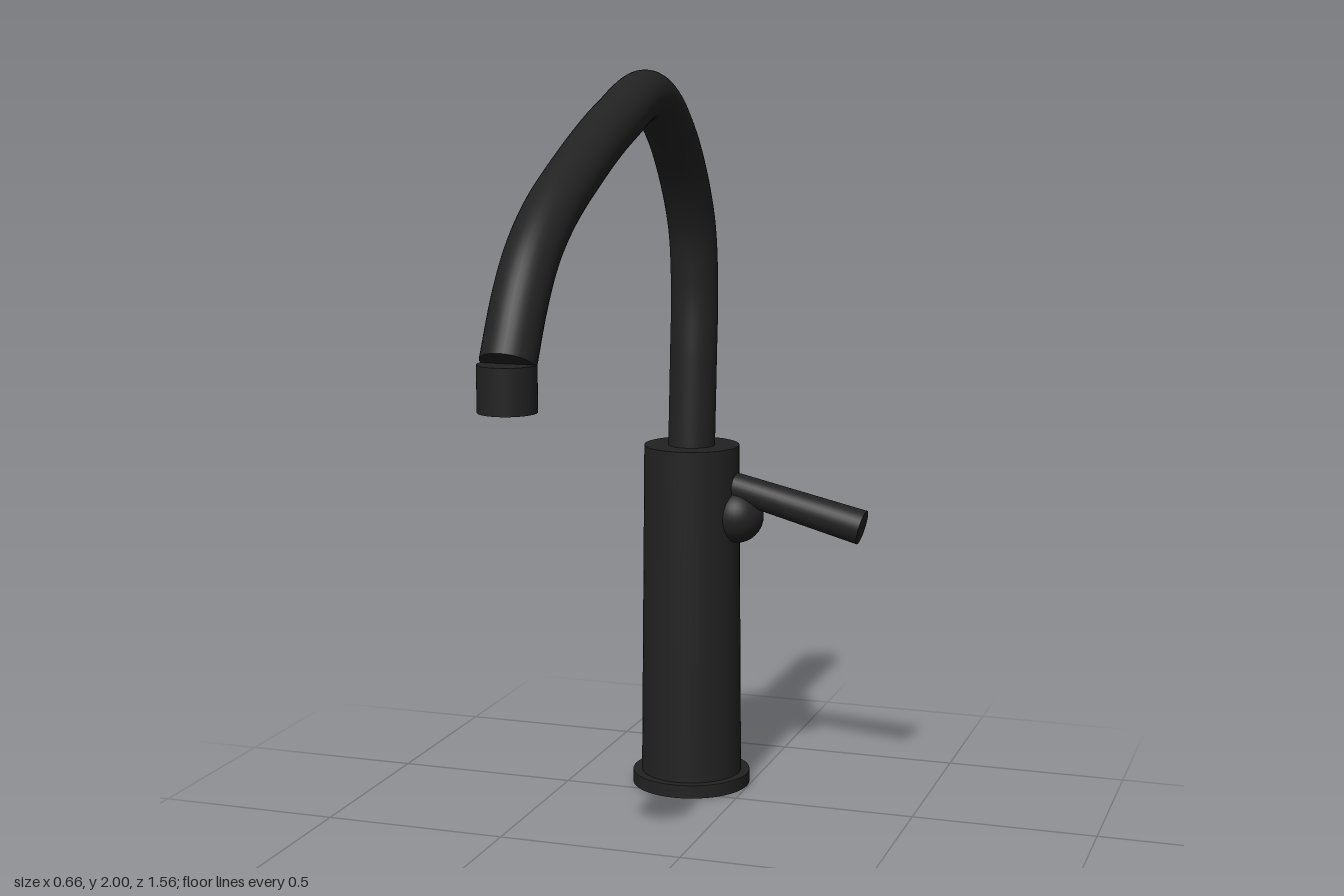
import * as THREE from 'three';

export function createModel() {
  const group = new THREE.Group();
  group.name = 'tap';
  const black = new THREE.MeshStandardMaterial({ color: 0x222222 });
  black.name = 'matte black';
  const X = -0.168, Z = -0.615; // axis of the tap body

  const add = (name, geometry, x = 0, y = 0, z = 0) => {
    const mesh = new THREE.Mesh(geometry, black);
    mesh.name = name;
    mesh.position.set(x, y, z);
    group.add(mesh);
    return mesh;
  };
  const cylinder = (name, rTop, rBottom, y0, y1, x, z) =>
    add(name, new THREE.CylinderGeometry(rTop, rBottom, y1 - y0, 48), x, (y0 + y1) / 2, z);

  // Foot flange and slightly tapered body
  cylinder('baseFlange', 0.165, 0.165, 0, 0.037, X, Z);
  cylinder('body', 0.132, 0.141, 0.037, 0.972, X, Z);

  // Swan-neck spout, given as [z, y] along its centre line
  const path = new THREE.CatmullRomCurve3([
    [-0.612, 0.95], [-0.628, 1.2], [-0.638, 1.42], [-0.605, 1.6], [-0.44, 1.83],
    [-0.25, 1.935], [0, 1.877], [0.26, 1.775], [0.45, 1.68], [0.56, 1.595],
    [0.635, 1.5], [0.706, 1.372],
  ].map(([z, y]) => new THREE.Vector3(X, y, z)));
  add('spout', new THREE.TubeGeometry(path, 96, 0.065, 32));

  // Closed spout end and the outlet below it
  const end = path.getPoint(1);
  const cap = add('spoutEnd', new THREE.CircleGeometry(0.065, 32), end.x, end.y, end.z);
  cap.lookAt(end.clone().add(path.getTangent(1)));
  cylinder('outlet', 0.068, 0.068, 1.265, 1.373, X, 0.712);

  // Side pivot ball and the lever sloping down from the body
  add('leverPivot', new THREE.SphereGeometry(0.075, 32, 20), -0.037, 0.778, Z);
  const from = new THREE.Vector3(-0.075, 0.868, Z);
  const to = new THREE.Vector3(0.32, 0.768, Z);
  const axis = to.clone().sub(from);
  const lever = add('lever', new THREE.CylinderGeometry(0.048, 0.039, axis.length(), 32));
  lever.position.copy(from).add(to).multiplyScalar(0.5);
  lever.quaternion.setFromUnitVectors(new THREE.Vector3(0, 1, 0), axis.normalize());

  return group;
}
